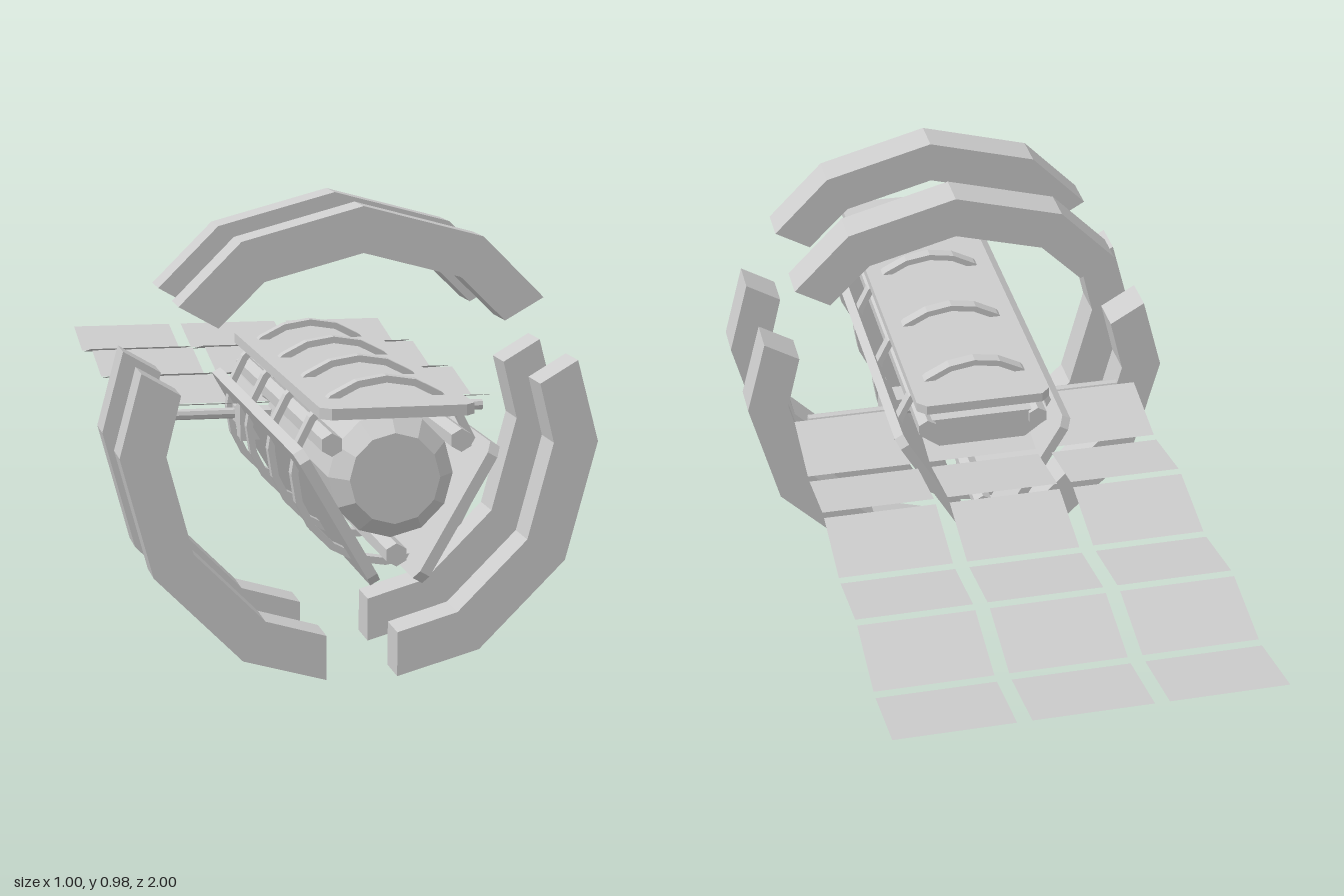
import * as THREE from 'three';

const CY = 0.485; // height of the long axis
const mat = new THREE.MeshStandardMaterial({ color: 0xcccccc, flatShading: true });
const thinMat = new THREE.MeshStandardMaterial({ color: 0xcccccc, flatShading: true, side: THREE.DoubleSide });

function add(parent, name, geometry, x = 0, y = 0, z = 0, material = mat) {
  const mesh = new THREE.Mesh(geometry, material);
  mesh.name = name;
  mesh.position.set(x, y, z);
  parent.add(mesh);
  return mesh;
}

const shapeOf = (pts) => new THREE.Shape(pts.map(([x, y]) => new THREE.Vector2(x, y)));
const extrude = (shape, depth) => new THREE.ExtrudeGeometry(shape, { depth, bevelEnabled: false });

// Regular polygon points, first point at the top
function polygon(radius, sides) {
  return Array.from({ length: sides }, (_, i) => {
    const a = Math.PI / 2 + (i / sides) * Math.PI * 2;
    return [radius * Math.cos(a), radius * Math.sin(a)];
  });
}

// Outer hull: twelve-sided rings broken into three arcs
function addBrokenRing(parent, z) {
  const depth = 0.09;
  const top = [[0.378, 0.305], [0.25, 0.433], [0, 0.5], [-0.25, 0.433], [-0.378, 0.305],
    [-0.297, 0.259], [-0.203, 0.351], [0, 0.405], [0.203, 0.351], [0.297, 0.259]];
  const side = [[0.075, -0.482], [0.25, -0.433], [0.433, -0.25], [0.5, 0], [0.454, 0.172],
    [0.374, 0.125], [0.405, 0], [0.351, -0.203], [0.203, -0.351], [0.075, -0.388]];
  add(parent, 'upperRingArc', extrude(shapeOf(top), depth), 0, 0, z);
  add(parent, 'leftRingArc', extrude(shapeOf(side), depth), 0, 0, z);
  add(parent, 'rightRingArc', extrude(shapeOf(side.map(([x, y]) => [-x, y])), depth), 0, 0, z);
}

// Flat armour plate with cut corners, lying above the axis
function plateGeometry() {
  const w = 0.153, z0 = -0.01, z1 = 1, c = 0.02;
  const shape = shapeOf([[-w, z0 + c], [-w + c, z0], [w - c, z0], [w, z0 + c],
    [w, z1 - c], [w - c, z1], [-w + c, z1], [-w, z1 - c]]);
  return extrude(shape, 0.022).rotateX(Math.PI / 2).translate(0, 0.148, 0);
}

export function createModel() {
  const model = new THREE.Group();
  model.name = 'spaceStation';
  const body = new THREE.Group();
  body.name = 'body';
  body.position.y = CY;
  model.add(body);

  // Core barrel with tapered ends
  const profile = [[0, 0.22], [0.09, 0.22], [0.125, 0.25], [0.125, 0.925], [0.09, 0.965], [0, 0.965]];
  const core = new THREE.LatheGeometry(profile.map(([r, h]) => new THREE.Vector2(r, h)), 12);
  add(body, 'coreBarrel', core.rotateX(Math.PI / 2));

  // Three plates and three hexagonal rails spaced evenly round the axis
  for (let i = 0; i < 3; i++) {
    const sector = new THREE.Group();
    sector.name = 'armourSector';
    sector.rotation.z = (i * Math.PI * 2) / 3;
    add(sector, 'armourPlate', plateGeometry());
    const rail = new THREE.CylinderGeometry(0.023, 0.023, 0.97, 6).rotateX(Math.PI / 2);
    add(sector, 'rail', rail, 0, -0.148, 0.495);
    body.add(sector);
  }

  // Hoops binding the plates to the core
  for (const z of [0.11, 0.365, 0.62, 0.873]) {
    const ring = shapeOf(polygon(0.19, 20));
    ring.holes.push(shapeOf(polygon(0.176, 20)));
    add(body, 'hoop', extrude(ring, 0.028), 0, 0, z - 0.014);
  }

  for (const z of [0.295, 0.582]) addBrokenRing(body, z);

  // Rear bay roof and hinge block
  const roof = shapeOf([[-0.1, 0.02], [0.1, 0.02], [0.14, 0.05], [0.125, 0.09], [-0.125, 0.09], [-0.14, 0.05]]);
  add(body, 'bayRoof', extrude(roof, 0.27), 0, 0, 0.02);
  add(body, 'hingeBlock', new THREE.BoxGeometry(0.372, 0.065, 0.06), 0, -0.012, 0.265);

  // Panel boom with a wedge bracket on each side
  add(body, 'panelBoom', new THREE.CylinderGeometry(0.012, 0.012, 0.74, 8).rotateZ(Math.PI / 2), 0, 0.003, 0.222);
  for (const s of [-1, 1]) {
    const wedge = shapeOf([[-0.2, -0.015], [-0.2, 0.02], [-0.235, 0.02], [-0.3, 0.045], [-0.3, -0.045], [-0.235, -0.015]]);
    const bracket = extrude(wedge, 0.02).rotateY(Math.PI / 2);
    add(body, 'boomBracket', bracket, s * 0.18 - 0.01, 0, 0);
  }

  // Folding solar array: thin panels in a shallow zigzag
  const array = new THREE.Group();
  array.name = 'solarArray';
  const low = -0.015, high = 0.02, depth = 0.181, width = 0.25;
  const tilt = Math.atan2(high - low, depth);
  for (let row = 0; row < 6; row++) {
    for (let col = -1; col <= 1; col++) {
      const geo = new THREE.PlaneGeometry(width, Math.hypot(depth, high - low)).rotateX(-Math.PI / 2);
      const panel = add(array, 'solarPanel', geo, col * 0.281, (low + high) / 2, -0.91 + row * 0.2025, thinMat);
      panel.rotation.x = row % 2 ? -tilt : tilt;
    }
  }
  body.add(array);
  return model;
}
